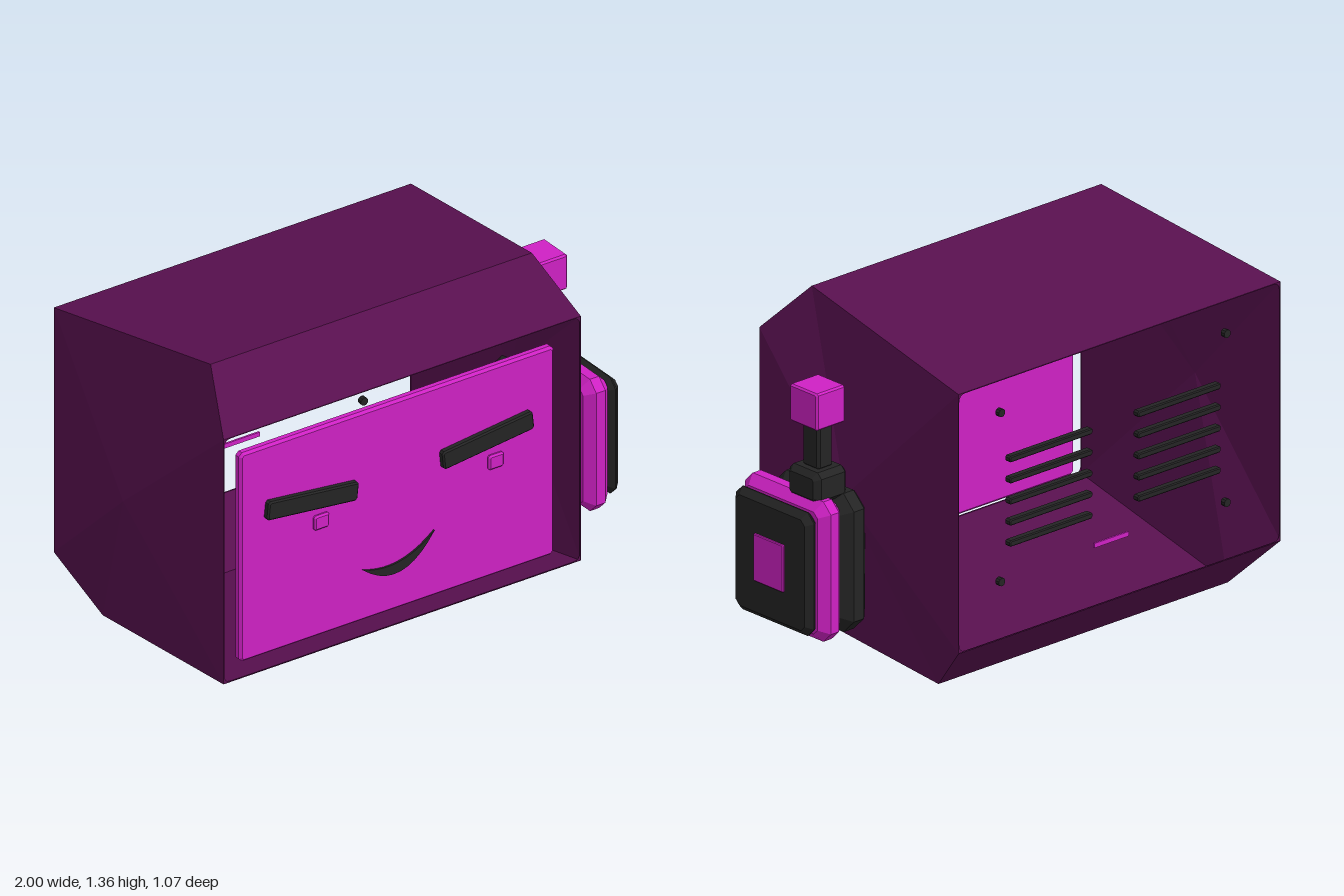
import * as THREE from 'three';

const mat = (name, color, side = THREE.FrontSide) => {
  const m = new THREE.MeshStandardMaterial({ color, side, flatShading: true });
  m.name = name;
  return m;
};

// Slab with cut corners (c) and bevelled faces (b), centred on the origin, facing z
function slab(w, h, d, c, b) {
  const x = w / 2 - b, y = h / 2 - b;
  const s = new THREE.Shape([
    [-x + c, -y], [x - c, -y], [x, -y + c], [x, y - c],
    [x - c, y], [-x + c, y], [-x, y - c], [-x, -y + c],
  ].map(([px, py]) => new THREE.Vector2(px, py)));
  const g = new THREE.ExtrudeGeometry(s, {
    depth: d - 2 * b, bevelEnabled: true, bevelThickness: b, bevelSize: b, bevelSegments: 1,
  });
  g.translate(0, 0, -(d - 2 * b) / 2);
  return g;
}

// Hexagonal shell: open at front and back, each side a shallow pyramid
function shellGeometry(cx) {
  const ring = [ // z, y, half width
    [0.535, 0.14, 0.795], [0.535, 1.16, 0.795], [0.34, 1.36, 0.715],
    [-0.535, 1.22, 0.795], [-0.535, 0.2, 0.795], [-0.34, 0, 0.715],
  ];
  const pos = [];
  const p = (i, s) => [cx + s * ring[i][2], ring[i][1], ring[i][0]];
  ring.forEach((_, i) => {
    const j = (i + 1) % 6;
    if (i !== 0 && i !== 3) {
      pos.push(...p(i, -1), ...p(i, 1), ...p(j, 1), ...p(i, -1), ...p(j, 1), ...p(j, -1));
    }
    pos.push(cx + 0.865, 0.68, 0, ...p(j, 1), ...p(i, 1));
    pos.push(cx - 0.865, 0.68, 0, ...p(i, -1), ...p(j, -1));
  });
  const g = new THREE.BufferGeometry();
  g.setAttribute('position', new THREE.Float32BufferAttribute(pos, 3));
  g.computeVertexNormals();
  return g;
}

// Thin rim with a round-cornered opening
function rimGeometry(w, h, t, r) {
  const s = new THREE.Shape();
  s.moveTo(-w / 2, -h / 2).lineTo(w / 2, -h / 2).lineTo(w / 2, h / 2).lineTo(-w / 2, h / 2);
  const x = w / 2 - t, y = h / 2 - t;
  const o = new THREE.Path();
  o.moveTo(-x + r, -y).lineTo(x - r, -y).quadraticCurveTo(x, -y, x, -y + r);
  o.lineTo(x, y - r).quadraticCurveTo(x, y, x - r, y);
  o.lineTo(-x + r, y).quadraticCurveTo(-x, y, -x, y - r);
  o.lineTo(-x, -y + r).quadraticCurveTo(-x, -y, -x + r, -y);
  s.holes.push(o);
  return new THREE.ShapeGeometry(s, 4);
}

export function createModel() {
  const model = new THREE.Group();
  model.name = 'boxHead';
  const purple = mat('darkPurple', 0x58104f, THREE.DoubleSide);
  const pink = mat('magenta', 0xcf21c4);
  const black = mat('black', 0x242424);
  const CX = -0.135;

  const add = (name, geo, m, x = 0, y = 0, z = 0, parent = model) => {
    const mesh = new THREE.Mesh(geo, m);
    mesh.name = name;
    mesh.position.set(x, y, z);
    parent.add(mesh);
    return mesh;
  };

  // Casing
  add('shell', shellGeometry(CX), purple);
  const rim = rimGeometry(1.59, 1.02, 0.004, 0.03);
  add('frontRim', rim, purple, CX, 0.65, 0.534);
  add('backRim', rim, purple, CX, 0.71, -0.534);

  // Face panel
  const face = new THREE.Group();
  face.name = 'face';
  model.add(face);
  add('screen', slab(1.4, 0.87, 0.04, 0.008, 0.01), pink, CX, 0.618, 0.485, face);
  for (const s of [-1, 1]) {
    const brow = add('brow', slab(0.405, 0.076, 0.03, 0.005, 0.006), black, CX + s * 0.39, 0.768, 0.515, face);
    brow.rotation.z = s * 0.11;
    add('eye', slab(0.068, 0.06, 0.02, 0.003, 0.007), pink, -0.092 + s * 0.388, 0.665, 0.512, face);
  }
  const smile = new THREE.Shape();
  smile.moveTo(-0.295, 0.4).quadraticCurveTo(-0.12, 0.25, 0.025, 0.462);
  smile.quadraticCurveTo(-0.13, 0.335, -0.295, 0.4);
  add('mouth', new THREE.ExtrudeGeometry(smile, { depth: 0.009, bevelEnabled: false, curveSegments: 10 }),
    black, 0, 0, 0.504, face);

  // Rear vents, screws and label strip
  const back = new THREE.Group();
  back.name = 'rearFittings';
  model.add(back);
  const ventGeo = slab(0.41, 0.024, 0.03, 0.004, 0.004);
  const screwGeo = new THREE.CylinderGeometry(0.016, 0.016, 0.02, 10).rotateX(Math.PI / 2);
  for (const s of [-1, 1]) {
    for (let i = 0; i < 5; i++) add('vent', ventGeo, black, CX + s * 0.317, 0.88 - i * 0.083, -0.5, back);
    for (const y of [1.073, 0.408]) add('screw', screwGeo, black, CX + s * 0.557, y, -0.5, back);
  }
  add('labelStrip', new THREE.BoxGeometry(0.17, 0.018, 0.008), pink, -0.125, 0.42, -0.5, back);

  // Side handset: stacked slabs facing +x
  const device = new THREE.Group();
  device.name = 'sideDevice';
  model.add(device);
  const sideSlab = (name, d, h, w, c, b, m, x, y, z) =>
    add(name, slab(d, h, w, c, b).rotateY(Math.PI / 2), m, x, y, z, device);
  sideSlab('innerPlate', 0.42, 0.545, 0.14, 0.03, 0.045, black, 0.765, 0.45, 0.095);
  sideSlab('middlePlate', 0.46, 0.55, 0.11, 0.02, 0.035, pink, 0.882, 0.45, 0.117);
  sideSlab('outerPlate', 0.42, 0.485, 0.055, 0.02, 0.03 - 0.005, black, 0.963, 0.453, 0.118);
  sideSlab('button', 0.16, 0.185, 0.02, 0.002, 0.003, pink, 0.99, 0.453, 0.12);

  // Lever standing on the device
  sideSlab('leverBase', 0.17, 0.125, 0.16, 0.008, 0.022, black, 0.837, 0.763, 0.03);
  sideSlab('leverStem', 0.09, 0.18, 0.075, 0.004, 0.01, black, 0.837, 0.91, 0.03);
  sideSlab('leverTip', 0.148, 0.146, 0.142, 0.003, 0.007, pink, 0.837, 1.066, 0.03);

  return model;
}
